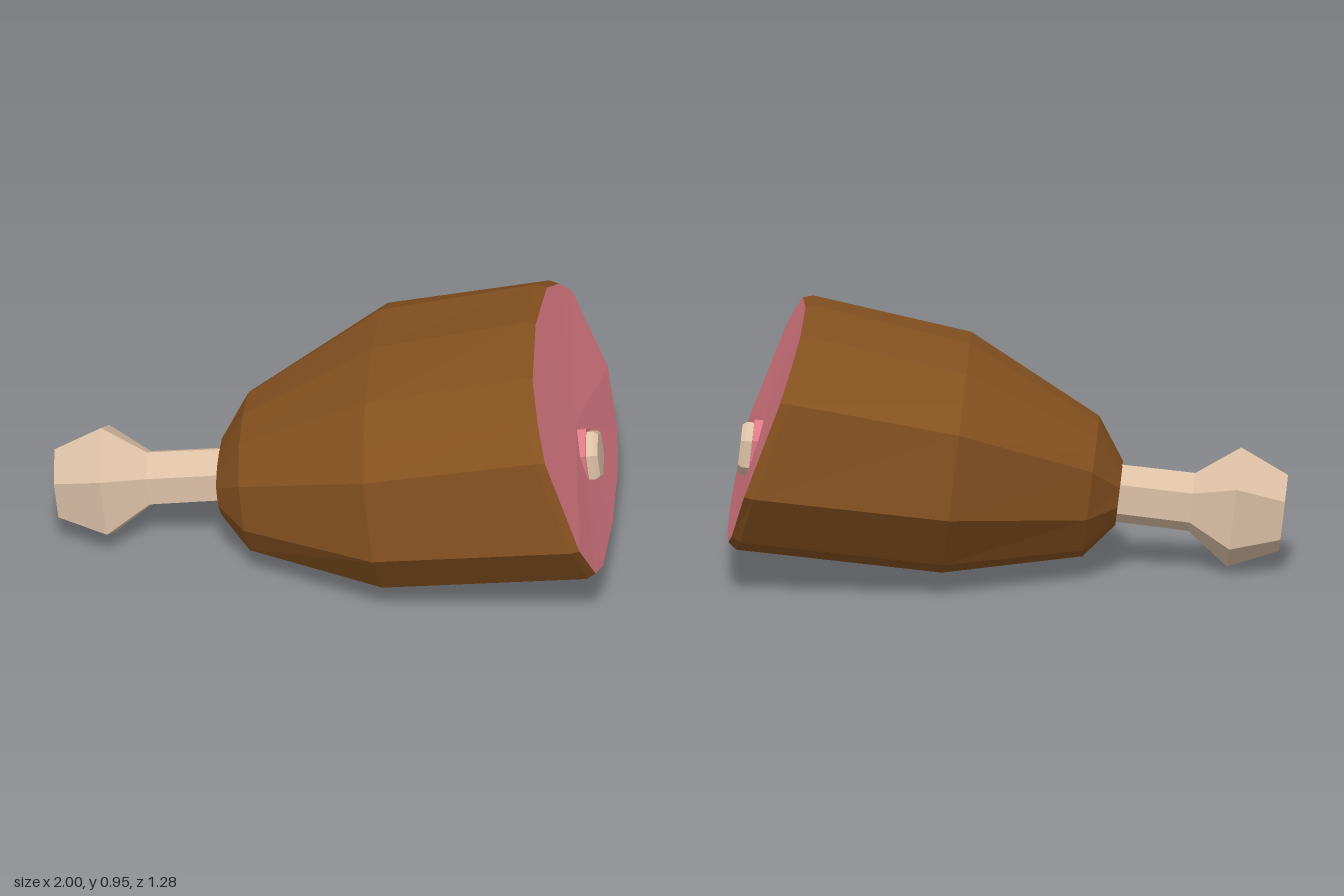
import * as THREE from 'three';

const material = (color) => new THREE.MeshStandardMaterial({ color, flatShading: true, roughness: 0.9 });

// Skin a list of equal-length rings (ordered along +x), with optional end caps.
function loft(rings, capStart, capEnd) {
  const n = rings[0].length;
  const pos = [], idx = [];
  rings.forEach((r) => r.forEach((p) => pos.push(p.x, p.y, p.z)));
  for (let k = 0; k < rings.length - 1; k++) {
    for (let i = 0; i < n; i++) {
      const a = k * n + i, b = k * n + (i + 1) % n;
      idx.push(a, b, a + n, b, b + n, a + n);
    }
  }
  const cap = (k, flip) => {
    const c = new THREE.Vector3();
    rings[k].forEach((p) => c.addScaledVector(p, 1 / n));
    const ci = pos.length / 3;
    pos.push(c.x, c.y, c.z);
    for (let i = 0; i < n; i++) {
      const a = k * n + i, b = k * n + (i + 1) % n;
      if (flip) idx.push(ci, b, a); else idx.push(ci, a, b);
    }
  };
  if (capStart) cap(0, true);
  if (capEnd) cap(rings.length - 1, false);
  const g = new THREE.BufferGeometry();
  g.setAttribute('position', new THREE.Float32BufferAttribute(pos, 3));
  g.setIndex(idx);
  const flat = g.toNonIndexed();
  flat.computeVertexNormals();
  return flat;
}

// Half outline of the ham section, top to bottom, mirrored to a 14-sided loop.
const half = [[0, 1], [0.5, 0.93], [0.76, 0.78], [0.94, 0.61], [1, 0], [0.77, -0.68], [0.53, -0.9], [0, -1]];
const outline = [...half, ...half.slice(1, -1).reverse().map(([u, v]) => [-u, v])];

// Section with its own width, height above and below the widest line.
function section({ y, up, down, z, w }, xAt) {
  return outline.map(([u, v]) => {
    const py = y + v * (v > 0 ? up : down), pz = z + u * w;
    return new THREE.Vector3(xAt(py, pz), py, pz);
  });
}

// Body sections lean square to the bone; the cut is a steeper slanted face.
const square = (xc, yc) => (y, z) => xc - 0.12 * (y - yc) + 0.06 * z;
const cut = (offset) => (y, z) => 0.92 + offset + 0.07 * z - (y > 0.4 ? 0.38 : 0.26) * (y - 0.4);

// The bone runs along one straight, slightly tilted axis.
const start = new THREE.Vector3(-0.985, 0.2, 0.11);
const end = new THREE.Vector3(0.945, 0.428, -0.016);
const axis = end.clone().sub(start).normalize();
const side = new THREE.Vector3().crossVectors(axis, new THREE.Vector3(0, 1, 0)).normalize();
const up = new THREE.Vector3().crossVectors(side, axis);

// Hexagon around the bone axis, corner up.
function hexagon(x, r) {
  const c = start.clone().addScaledVector(axis, (x - start.x) / axis.x);
  return Array.from({ length: 6 }, (_, i) => {
    const a = (i * Math.PI) / 3;
    return c.clone().addScaledVector(up, r * Math.cos(a)).addScaledVector(side, r * Math.sin(a));
  });
}

export function createModel() {
  const ham = new THREE.Group();
  ham.name = 'hamLeg';
  const add = (name, geometry, mat) => {
    const m = new THREE.Mesh(geometry, mat);
    m.name = name;
    ham.add(m);
  };
  const skin = material(0x84501f), flesh = material(0xdc7a84), bone = material(0xdcc0a6);

  // Roasted skin, from the narrow shank to the rounded rim of the cut
  const shank = section({ y: 0.26, up: 0.11, down: 0.095, z: 0.08, w: 0.185 }, square(-0.405, 0.26));
  const rim = section({ y: 0.4, up: 0.55, down: 0.262, z: -0.025, w: 0.606 }, cut(0));
  add('skin', loft([
    shank,
    section({ y: 0.25, up: 0.28, down: 0.19, z: 0.07, w: 0.33 }, square(-0.3, 0.25)),
    section({ y: 0.32, up: 0.5, down: 0.29, z: 0.02, w: 0.62 }, square(0.185, 0.32)),
    section({ y: 0.395, up: 0.562, down: 0.285, z: -0.026, w: 0.618 }, cut(-0.035)),
    rim,
  ]), skin);

  // Pink flesh at both ends
  add('cutFace', loft([rim.map((p) => p.clone().setX(p.x - 0.02)), rim], false, true), flesh);
  add('shankFlesh', loft([shank, shank.map((p) => p.clone().setX(p.x + 0.03))], true, false), flesh);

  // Bone: knob and neck in one piece, then the sawn end with its flesh collar
  add('bone', loft([
    hexagon(-0.985, 0.14), hexagon(-0.81, 0.22), hexagon(-0.66, 0.107), hexagon(-0.3, 0.105),
  ], true, true), bone);
  add('sawnBoneEnd', loft([
    hexagon(0.8, 0.098), hexagon(0.93, 0.098), hexagon(0.945, 0.086),
  ], true, true), bone);
  add('boneCollar', loft([hexagon(0.8, 0.11), hexagon(0.905, 0.11)], true, true), flesh);

  return ham;
}
